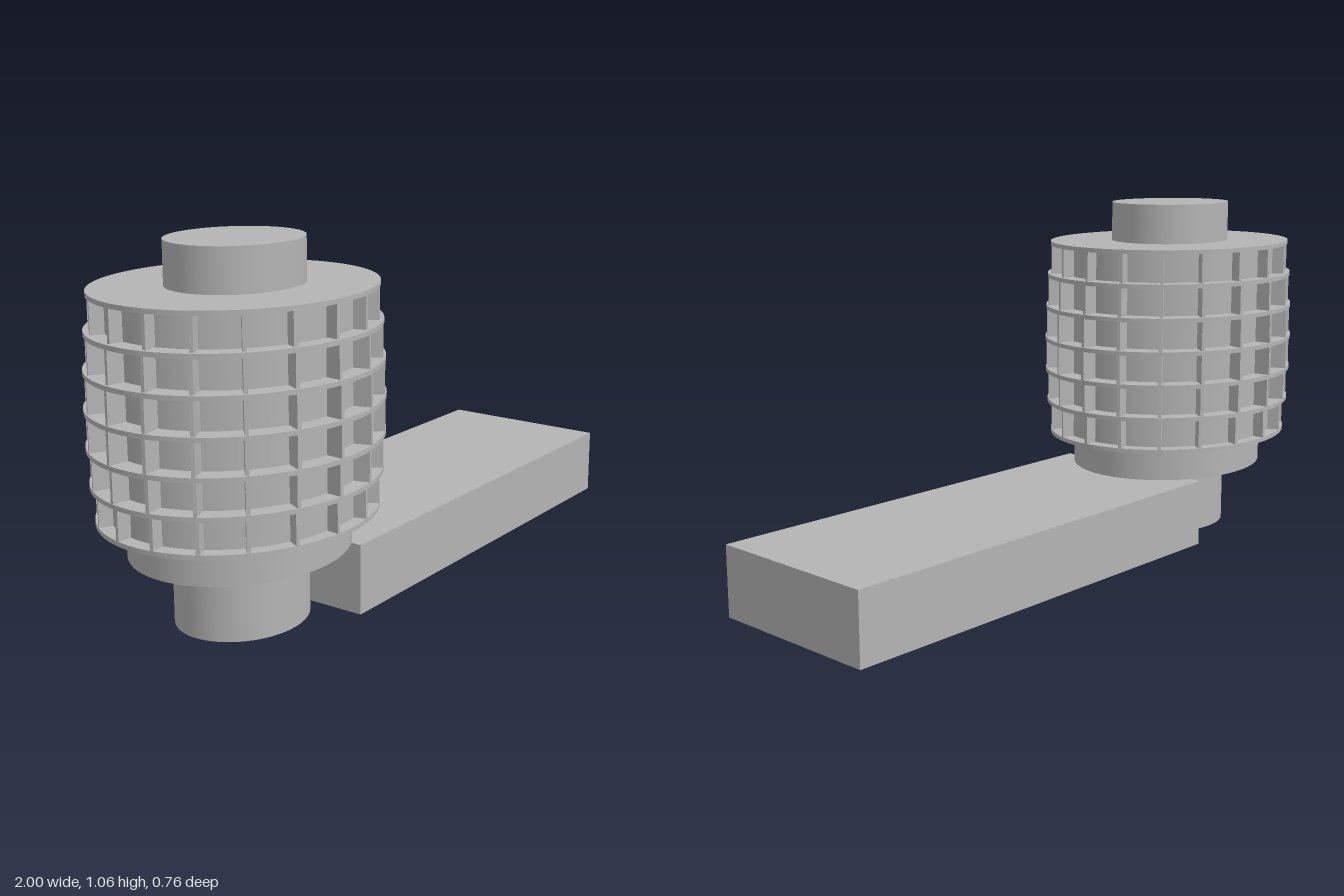
import * as THREE from 'three';

export function createModel() {
  const model = new THREE.Group();
  const grey = new THREE.MeshStandardMaterial({ color: 0xb4b4b4 });
  grey.name = 'grey';

  function add(parent, geometry, name) {
    const mesh = new THREE.Mesh(geometry, grey);
    mesh.name = name;
    parent.add(mesh);
    return mesh;
  }

  // Long slab reaching out from the tower
  add(model, new THREE.BoxGeometry(1.385, 0.205, 0.544), 'baseSlab').position.set(0.3075, 0.1025, 0);

  // Round tower, stretched along x into an oval
  const tower = new THREE.Group();
  tower.name = 'tower';
  tower.position.x = -0.567;
  tower.scale.x = 1.145;
  model.add(tower);

  function drum(name, radius, y0, y1) {
    add(tower, new THREE.CylinderGeometry(radius, radius, y1 - y0, 96), name).position.y = (y0 + y1) / 2;
  }

  drum('foot', 0.177, 0, 0.207);
  drum('collar', 0.289, 0.206, 0.311);
  drum('core', 0.327, 0.31, 0.93);
  drum('topStub', 0.177, 0.93, 1.057);

  // Seven floor plates, widest at mid height
  const plateRadii = [0.363, 0.373, 0.378, 0.379, 0.377, 0.372, 0.363];
  const plateThickness = 0.013;
  const plateY = i => 0.316 + i * 0.102;
  plateRadii.forEach((radius, i) => {
    drum('floorPlate', radius, plateY(i) - plateThickness / 2, plateY(i) + plateThickness / 2);
  });

  // Upright fins between neighbouring plates
  const finCount = 19;
  const inner = 0.32;
  for (let i = 0; i < plateRadii.length - 1; i++) {
    const depth = Math.min(plateRadii[i], plateRadii[i + 1]) - 0.001 - inner;
    const fin = new THREE.BoxGeometry(depth, 0.102 - plateThickness, 0.0095);
    fin.translate(inner + depth / 2, (plateY(i) + plateY(i + 1)) / 2, 0);
    for (let k = 0; k < finCount; k++) {
      add(tower, fin, 'fin').rotation.y = (k / finCount) * Math.PI * 2;
    }
  }

  return model;
}
